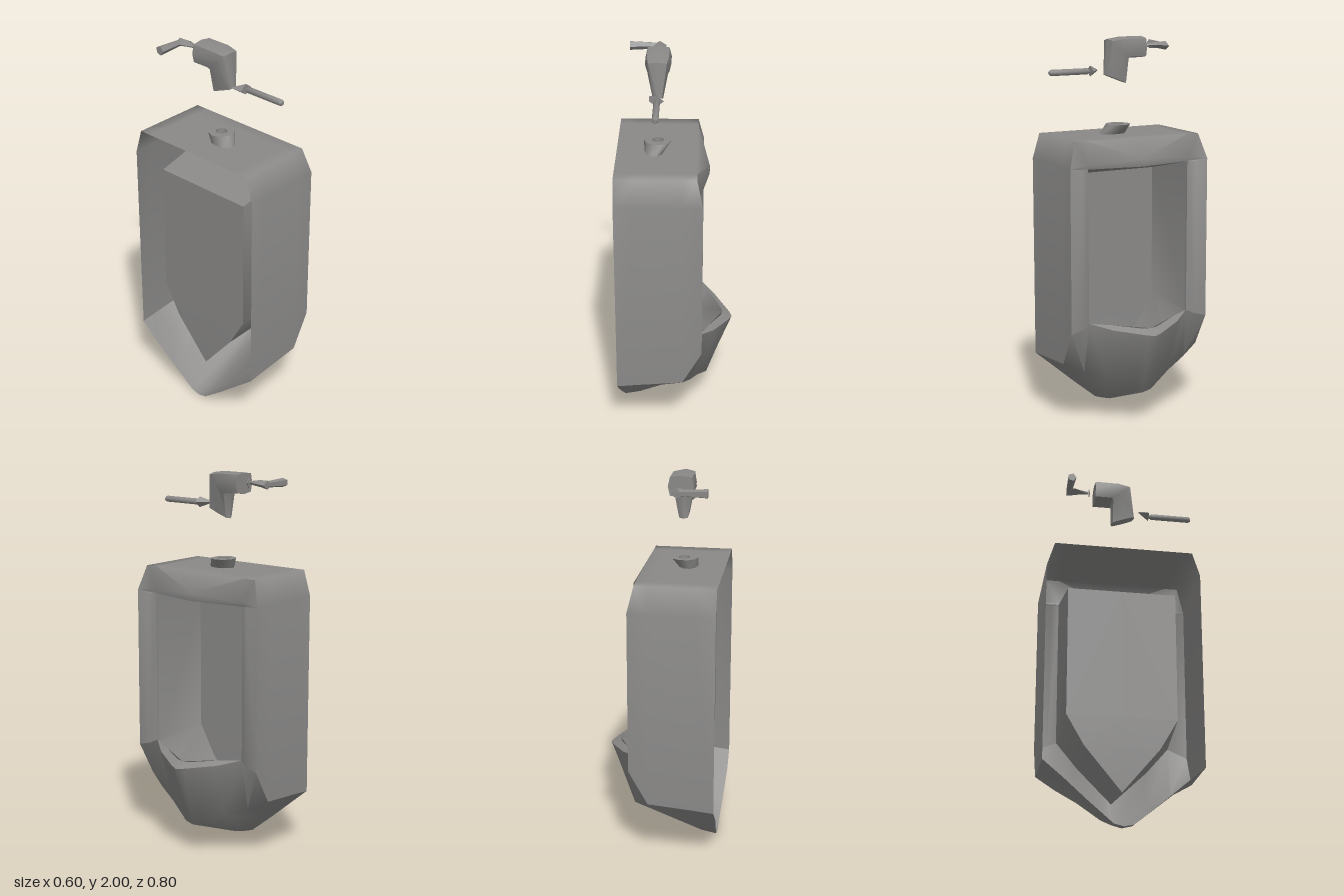
import * as THREE from 'three';
import { toCreasedNormals } from 'three/addons/utils/BufferGeometryUtils.js';

const porcelain = new THREE.MeshStandardMaterial({ color: 0x8a8988, side: THREE.DoubleSide });
porcelain.name = 'grey porcelain';

// Turns grids of points (rows of [x, y, z]) into one creased surface
function surface(name, grids, mirror, crease) {
  const pos = [];
  const tri = (a, b, c) => {
    const [A, B, C] = [a, b, c].map((p) => new THREE.Vector3(...p));
    if (B.sub(A).cross(C.sub(A)).length() < 1e-7) return;
    pos.push(...a, ...b, ...c);
    if (mirror) for (const p of [a, c, b]) pos.push(p[0], p[1], -p[2]);
  };
  for (const rows of grids) {
    for (let i = 0; i < rows.length - 1; i++) {
      for (let j = 0; j < rows[i].length - 1; j++) {
        const a = rows[i][j], b = rows[i][j + 1], c = rows[i + 1][j], d = rows[i + 1][j + 1];
        tri(a, b, c);
        tri(b, d, c);
      }
    }
  }
  let g = new THREE.BufferGeometry();
  g.setAttribute('position', new THREE.Float32BufferAttribute(pos, 3));
  g = toCreasedNormals(g, crease);
  const mesh = new THREE.Mesh(g, porcelain);
  mesh.name = name;
  return mesh;
}

// Capped tube through rings [cx, cy, cz, halfWidthX, dy, dz]; a low power makes it boxy
function tube(name, rings, sides = 8, crease = 0.9, power = 1) {
  const box = (v) => Math.sign(v) * Math.abs(v) ** power;
  const rows = rings.map(([cx, cy, cz, rx, dy, dz]) =>
    Array.from({ length: sides + 1 }, (_, k) => {
      const t = ((k % sides) / sides) * Math.PI * 2;
      const c = box(Math.cos(t)), s = box(Math.sin(t));
      return [cx + rx * c, cy + dy * s, cz + dz * s];
    }));
  const cap = (r) => Array.from({ length: sides + 1 }, () => r.slice(0, 3));
  return surface(name, [[cap(rings[0]), ...rows, cap(rings[rings.length - 1])]], false, crease);
}

export function createModel() {
  const model = new THREE.Group();
  model.name = 'urinal';

  // Side panel, back to front
  const side = [
    [[-0.3, 1.5, 0.36], [-0.3, 1.37, 0.4], [-0.3, 0.31, 0.4]],
    [[-0.2, 1.5, 0.36], [-0.2, 1.37, 0.4], [-0.2, 0.32, 0.4]],
    [[0.04, 1.5, 0.36], [0.04, 1.37, 0.4], [0.04, 0.34, 0.4]],
    [[0.11, 1.5, 0.36], [0.14, 1.37, 0.4], [0.14, 0.52, 0.4]],
  ];
  // Roof curving over the hood above the opening
  const hood = [
    ...[-0.3, -0.2, 0.04, 0.11].map((x) => [[x, 1.5, 0], [x, 1.5, 0.29], [x, 1.5, 0.36]]),
    [[0.172, 1.4, 0], [0.128, 1.38, 0.29], [0.14, 1.37, 0.4]],
    [[0.17, 1.36, 0], [0.12, 1.36, 0.29], [0.14, 1.36, 0.33]],
  ];
  // Front frame on each side of the opening
  const frame = [
    [[0.14, 1.37, 0.4], [0.14, 0.52, 0.4]],
    [[0.14, 1.36, 0.33], [0.14, 0.54, 0.33]],
    [[0.12, 1.36, 0.29], [0.12, 0.56, 0.29]],
  ];
  model.add(surface('cabinet', [side, hood, frame], true, 1.3));

  // Bowl hanging below the side panels, running down into the keel
  model.add(surface('bowl', [[
    [[-0.3, 0.31, 0.4], [-0.3, 0.225, 0.3], [-0.29, 0.12, 0.18], [-0.28, 0.012, 0.05], [-0.28, 0, 0]],
    [[-0.2, 0.32, 0.4], [-0.2, 0.235, 0.3], [-0.2, 0.135, 0.18], [-0.2, 0.028, 0.05], [-0.2, 0.015, 0]],
    [[0.04, 0.34, 0.4], [0.08, 0.29, 0.3], [0.12, 0.24, 0.18], [0.165, 0.17, 0.05], [0.17, 0.16, 0]],
    [[0.14, 0.52, 0.4], [0.12, 0.56, 0.29], [0.2, 0.53, 0.19], [0.285, 0.505, 0.04], [0.3, 0.5, 0]],
  ]], true, 1.3));

  // Lip of the bowl
  model.add(surface('bowlRim', [[
    [[0.12, 0.56, 0.29], [0.2, 0.53, 0.19], [0.285, 0.505, 0.04], [0.3, 0.5, 0]],
    [[0.12, 0.56, 0.29], [0.17, 0.55, 0.18], [0.24, 0.53, 0.04], [0.25, 0.53, 0]],
  ]], true, 0.8));

  // Recess: ceiling, side walls and basin, closed by a back wall
  model.add(surface('recess', [[
    [[0.17, 1.36, 0], [0.12, 1.36, 0.29], [0.12, 0.56, 0.29], [0.17, 0.55, 0.18], [0.25, 0.53, 0]],
    [[0.1, 1.35, 0], [0.1, 1.355, 0.29], [0.1, 0.55, 0.29], [0.11, 0.42, 0.18], [0.14, 0.25, 0]],
    [[-0.23, 1.28, 0], [-0.23, 1.28, 0.28], [-0.23, 0.58, 0.28], [-0.23, 0.42, 0.19], [-0.22, 0.19, 0]],
  ]], true, 0.9));
  model.add(surface('backWall', [[
    [[-0.22, 0.19, 0], [-0.22, 0.19, 0]],
    [[-0.23, 0.42, 0], [-0.23, 0.42, 0.19]],
    [[-0.23, 0.58, 0], [-0.23, 0.58, 0.28]],
    [[-0.23, 1.28, 0], [-0.23, 1.28, 0.28]],
  ]], true, 0.9));

  // Inlet collar on the roof, with a sunken hole
  model.add(tube('inletCollar', [
    [-0.11, 1.5, 0.03, 0.05, 0, 0.07],
    [-0.092, 1.55, 0.005, 0.07, 0, 0.065],
    [-0.092, 1.55, 0.005, 0.03, 0, 0.03],
    [-0.092, 1.505, 0.005, 0.028, 0, 0.028],
  ], 10));

  // Flush valve floating above: boxy elbow pipe
  const valve = new THREE.Group();
  valve.name = 'flushValve';
  valve.add(tube('elbowPipe', [
    [-0.09, 1.945, -0.13, 0.065, 0.055, 0],
    [-0.09, 1.945, -0.02, 0.065, 0.055, 0.02],
    [-0.09, 1.935, 0.015, 0.055, 0.055, 0.055],
    [-0.09, 1.785, 0.025, 0.026, 0.025, 0.065],
  ], 8, 0.9, 0.5));

  // Supply rod with its pointed tip
  valve.add(tube('supplyRod', [
    [-0.09, 1.83, 0.17, 0.008, 0.008, 0],
    [-0.09, 1.83, 0.185, 0.016, 0.016, 0],
    [-0.09, 1.83, 0.39, 0.016, 0.016, 0],
    [-0.09, 1.83, 0.4, 0.01, 0.01, 0],
  ]));
  valve.add(tube('rodTip', [
    [-0.125, 1.83, 0.11, 0.005, 0.004, 0],
    [-0.092, 1.83, 0.167, 0.037, 0.028, 0],
  ], 4, 0.3));

  // Handle: stem, end plate and sideways lever
  valve.add(tube('handleStem', [
    [-0.09, 1.95, -0.165, 0.004, 0.008, 0],
    [-0.09, 1.95, -0.235, 0.033, 0.018, 0],
    [-0.09, 1.945, -0.28, 0.035, 0.022, 0],
  ], 4, 0.3));
  valve.add(tube('handlePlate', [
    [-0.09, 1.948, -0.155, 0.012, 0.024, 0],
    [-0.09, 1.948, -0.161, 0.012, 0.024, 0],
  ], 4, 0.3));
  const lever = new THREE.Mesh(
    toCreasedNormals(new THREE.CylinderGeometry(0.016, 0.024, 0.15, 5), 0.6), porcelain);
  lever.name = 'handleLever';
  lever.rotation.z = -Math.PI / 2;
  lever.position.set(-0.165, 1.947, -0.27);
  valve.add(lever);
  model.add(valve);

  return model;
}
